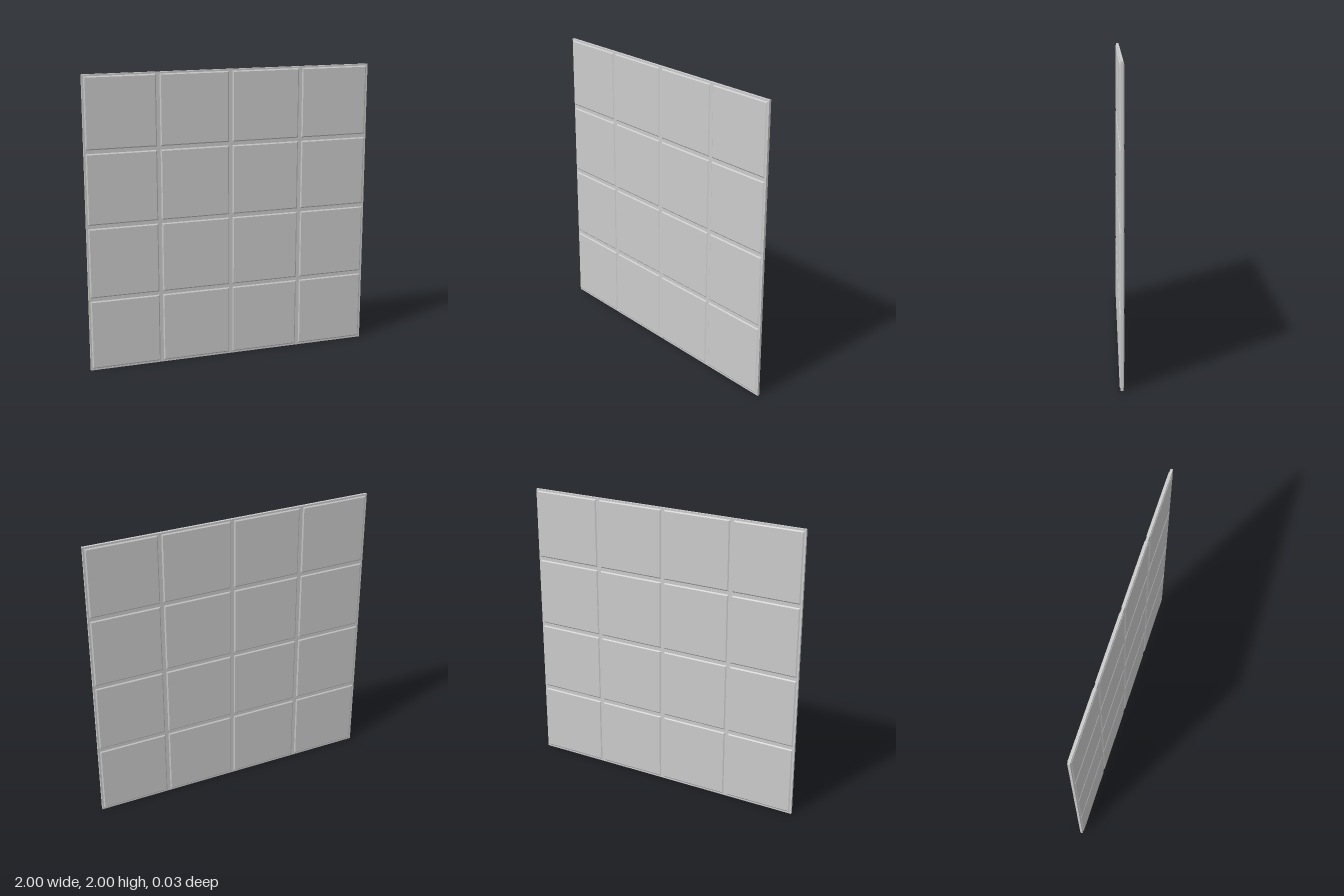
import * as THREE from 'three';

const CELLS = 4, PITCH = 2 / CELLS;
const CORE = 0.008;    // half thickness of the backing sheet
const FACE = 0.014;    // half thickness at the raised panels
const INSET = 0.012;   // panel foot to cell border
const BEVEL = 0.008;   // width of the sloped panel rim

export function createModel() {
  const group = new THREE.Group();
  const material = new THREE.MeshStandardMaterial({ color: 0xcccccc, flatShading: true });

  // Thin sheet that shows as the grooves and outer rim
  const sheet = new THREE.Mesh(new THREE.BoxGeometry(2, 2, CORE * 2), material);
  sheet.name = 'backingSheet';
  sheet.position.y = 1;
  group.add(sheet);

  // Raised square panel with bevelled sides, facing +z
  const foot = PITCH / 2 - INSET;
  const height = FACE - CORE;
  const panelGeometry = new THREE.CylinderGeometry(
    (foot - BEVEL) * Math.SQRT2, foot * Math.SQRT2, height, 4)
    .rotateY(Math.PI / 4)
    .rotateX(Math.PI / 2)
    .translate(0, 0, CORE + height / 2);

  // Grid of panels on both faces
  for (const side of ['front', 'back']) {
    const panels = new THREE.Group();
    panels.name = side + 'Panels';
    for (let row = 0; row < CELLS; row++) {
      for (let col = 0; col < CELLS; col++) {
        const panel = new THREE.Mesh(panelGeometry, material);
        panel.name = `${side}Panel_${row}_${col}`;
        panel.position.set((col + 0.5) * PITCH - 1, (row + 0.5) * PITCH, 0);
        panels.add(panel);
      }
    }
    if (side === 'back') panels.rotation.y = Math.PI;
    group.add(panels);
  }
  return group;
}
